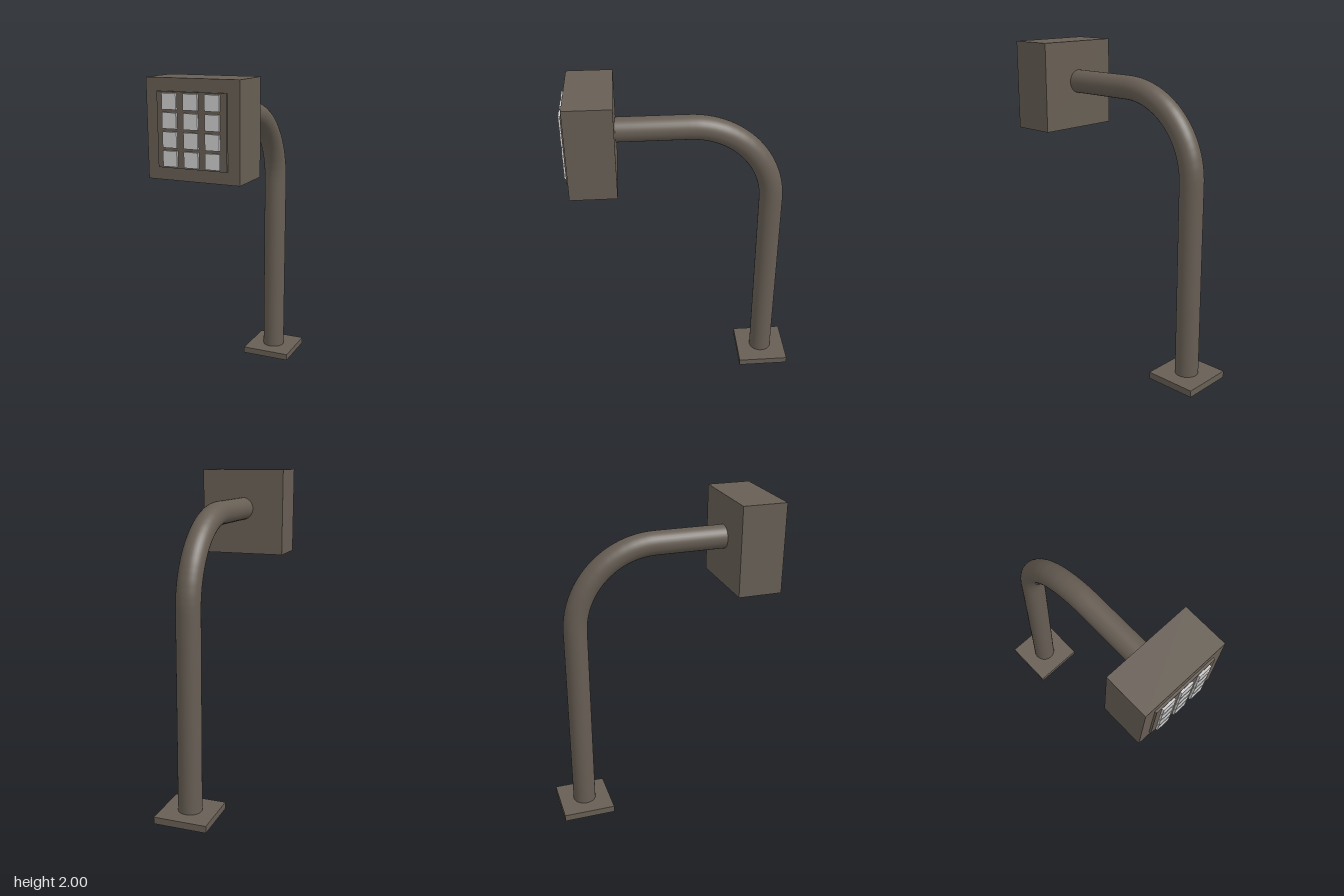
import * as THREE from 'three';

export function createModel() {
  const group = new THREE.Group();
  const bronze = new THREE.MeshStandardMaterial({ color: 0x675e54 });
  const grey = new THREE.MeshStandardMaterial({ color: 0xcccccc });

  const add = (name, geometry, material, x = 0, y = 0, z = 0) => {
    const mesh = new THREE.Mesh(geometry, material);
    mesh.name = name;
    mesh.position.set(x, y, z);
    group.add(mesh);
    return mesh;
  };
  const box = (name, w, h, d, material, x, y, z) =>
    add(name, new THREE.BoxGeometry(w, h, d), material, x, y, z);

  // Pedestal: foot plate and gooseneck pipe (straight, quarter bend, straight)
  const postZ = -0.53, armY = 1.75, bend = 0.5, pipeR = 0.072;
  box('footPlate', 0.325, 0.042, 0.325, bronze, 0, 0.021, postZ);

  const path = new THREE.CurvePath();
  const v = (y, z) => new THREE.Vector3(0, y, z);
  const bendPoints = [];
  for (let i = 0; i <= 24; i++) {
    const a = (i / 24) * Math.PI / 2;
    bendPoints.push(v(armY - bend + bend * Math.sin(a), postZ + bend - bend * Math.cos(a)));
  }
  path.add(new THREE.LineCurve3(v(0.03, postZ), bendPoints[0]));
  for (let i = 0; i < 24; i++) path.add(new THREE.LineCurve3(bendPoints[i], bendPoints[i + 1]));
  path.add(new THREE.LineCurve3(bendPoints[24], v(armY, 0.41)));
  add('gooseneckPipe', new THREE.TubeGeometry(path, 120, pipeR, 32, false), bronze);

  // Keypad housing with raised panel
  box('housing', 0.544, 0.543, 0.27, bronze, 0, 1.7285, 0.532);
  box('keyPanel', 0.405, 0.405, 0.02, bronze, 0, 1.728, 0.67);

  // Keys, four rows of three
  const keys = new THREE.Group();
  keys.name = 'keys';
  for (let row = 0; row < 4; row++) {
    for (let col = -1; col <= 1; col++) {
      const key = box('key', 0.083, 0.085, 0.02, grey, col * 0.125, 1.88 - row * 0.101, 0.683);
      keys.add(key);
    }
  }
  group.add(keys);
  return group;
}
